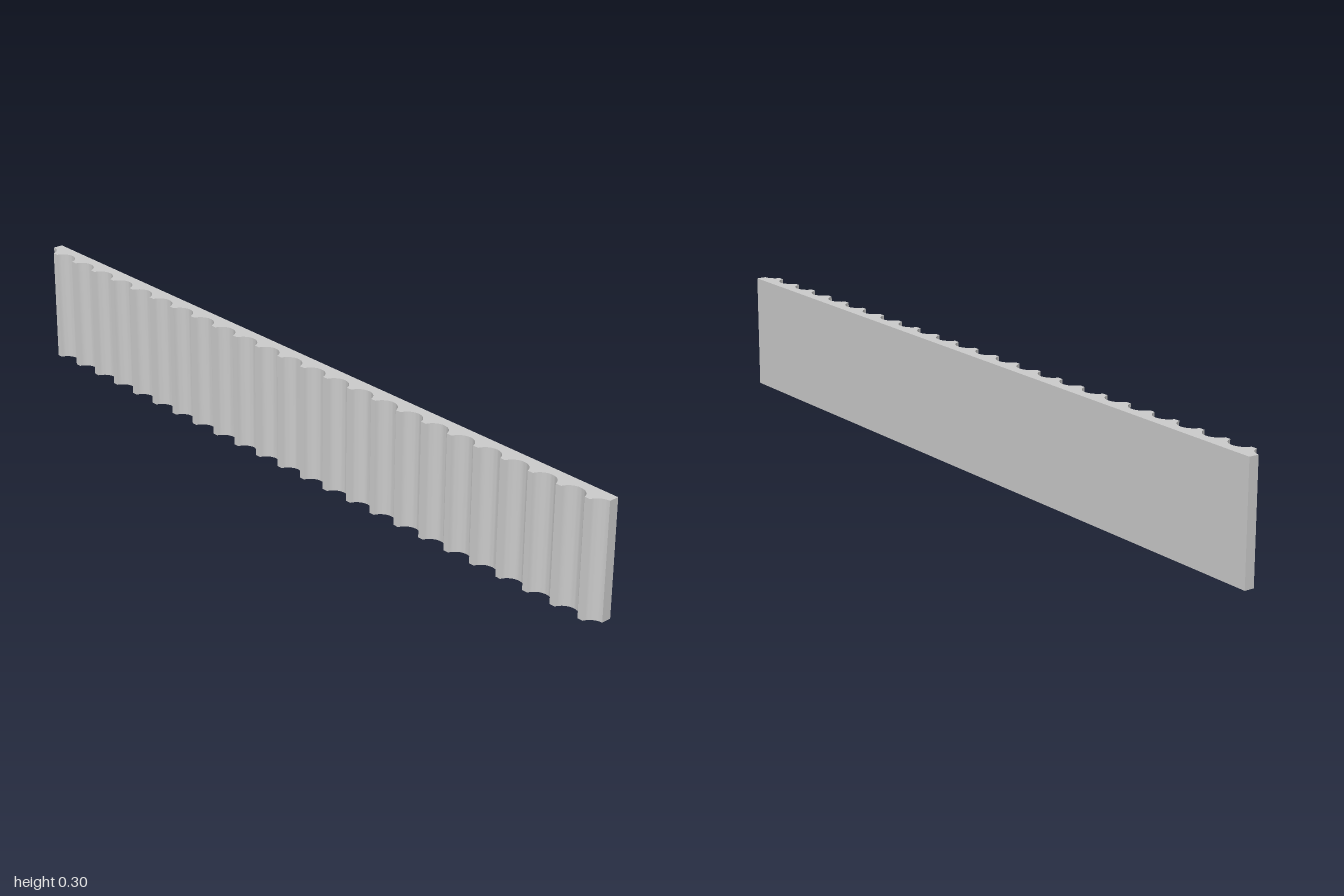
import * as THREE from 'three';
import { toCreasedNormals } from 'three/addons/utils/BufferGeometryUtils.js';

const COUNT = 24;            // ridges along the panel
const PITCH = 2 / COUNT;
const HEIGHT = 0.3;
const HALF_DEPTH = 0.026;
const GROOVE_Z = 0;          // deepest point of each flute
const HALF_GROOVE = 0.034;   // half the opening of a flute
const STEPS = 8;             // segments per half flute

export function createModel() {
  const group = new THREE.Group();
  group.name = 'flutedPanel';

  // circular flute through its floor and the two ridge corners
  const depth = HALF_DEPTH - GROOVE_Z;
  const radius = (HALF_GROOVE ** 2 + depth ** 2) / (2 * depth);
  const sweep = Math.asin(HALF_GROOVE / radius);

  // plan outline, drawn with shape y = -z: flat back, fluted front
  const points = [new THREE.Vector2(1, HALF_DEPTH), new THREE.Vector2(-1, HALF_DEPTH)];
  for (let i = 0; i <= COUNT; i++) {
    const centre = -1 + i * PITCH;
    // the end flutes are cut in half by the panel ends
    const from = i === 0 ? 0 : -STEPS;
    const to = i === COUNT ? 0 : STEPS;
    for (let s = from; s <= to; s++) {
      const a = (s / STEPS) * sweep;
      const z = GROOVE_Z + radius * (1 - Math.cos(a));
      points.push(new THREE.Vector2(centre + radius * Math.sin(a), -z));
    }
  }

  // extrude the plan upwards, smooth flutes with sharp ridge corners
  const geometry = new THREE.ExtrudeGeometry(new THREE.Shape(points), { depth: HEIGHT, bevelEnabled: false });
  geometry.rotateX(-Math.PI / 2);
  const panel = new THREE.Mesh(
    toCreasedNormals(geometry, 0.5),
    new THREE.MeshStandardMaterial({ color: 0xcccccc })
  );
  panel.name = 'panel';
  group.add(panel);
  return group;
}
